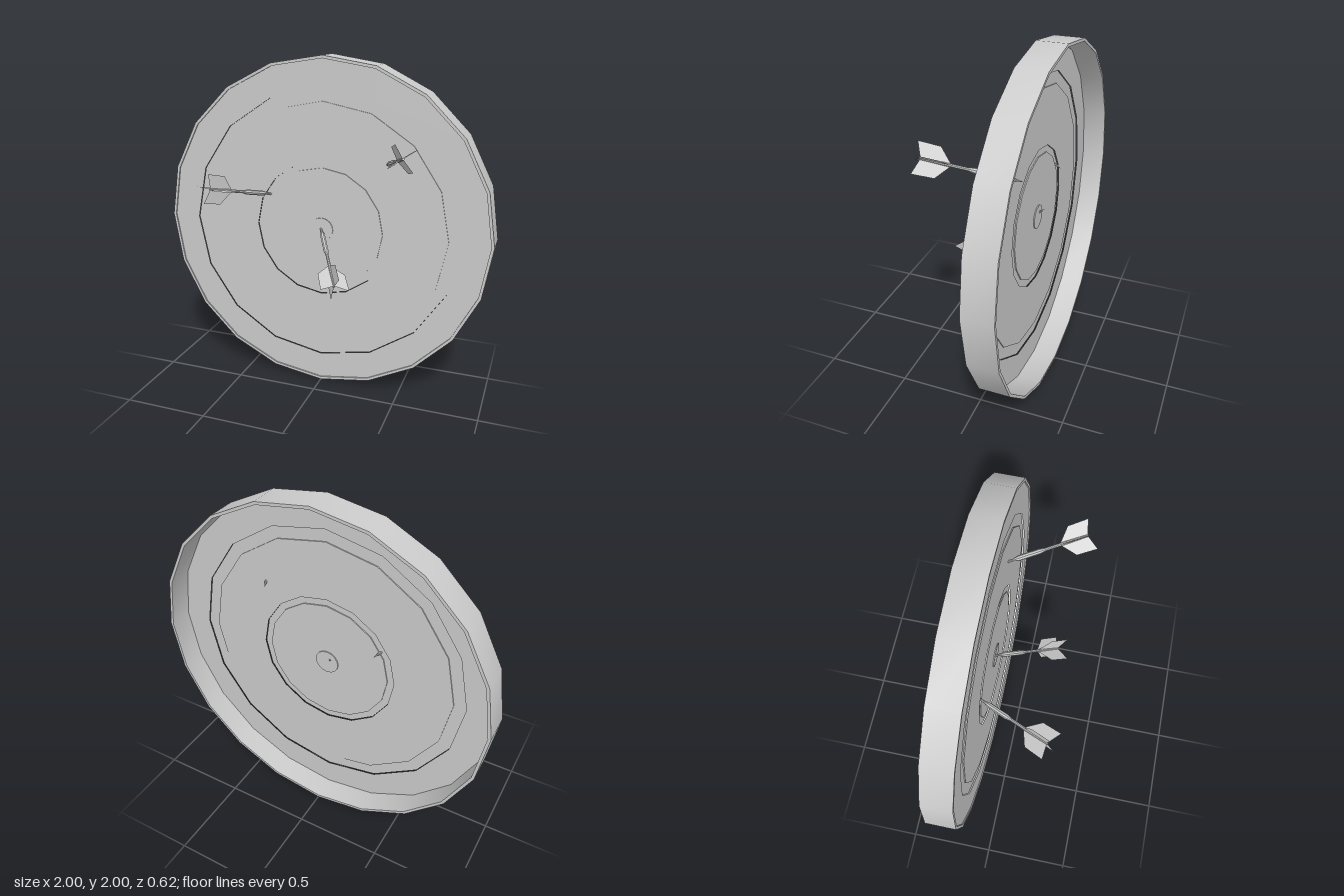
import * as THREE from 'three';
import { toCreasedNormals } from 'three/addons/utils/BufferGeometryUtils.js';

const grey = new THREE.MeshStandardMaterial({ color: 0xcccccc });
const thin = new THREE.MeshStandardMaterial({ color: 0xcccccc, side: THREE.DoubleSide });
const CENTRE_Y = 1;

function add(parent, name, geometry, material = grey) {
  const mesh = new THREE.Mesh(geometry, material);
  mesh.name = name;
  parent.add(mesh);
  return mesh;
}

function lathe(points, sides) {
  return toCreasedNormals(new THREE.LatheGeometry(points.map(p => new THREE.Vector2(...p)), sides), 0.5);
}

// Regular polygon with a corner at the top
function polygon(radius, sides) {
  return Array.from({ length: sides }, (_, i) => {
    const a = (i / sides) * Math.PI * 2;
    return new THREE.Vector2(Math.sin(a) * radius, Math.cos(a) * radius);
  });
}

// Flat polygonal ring or disc between two depths
function ring(parent, name, outer, inner, back, front, sides = 16) {
  const shape = new THREE.Shape(polygon(outer, sides));
  if (inner > 0) shape.holes.push(new THREE.Path(polygon(inner, 16)));
  const geo = new THREE.ExtrudeGeometry(shape, { depth: front - back, bevelEnabled: false });
  geo.translate(0, 0, back);
  return add(parent, name, geo);
}

// Dart along +y, origin where it enters the board
function makeDart(name, entry, direction, side) {
  const dart = new THREE.Group();
  dart.name = name;
  add(dart, 'needle', lathe([[0, -0.08], [0.007, -0.04], [0.007, 0.04]], 8));
  add(dart, 'barrel', lathe([[0, 0.025], [0.009, 0.025], [0.015, 0.05], [0.015, 0.17], [0.009, 0.2], [0, 0.2]], 8));
  add(dart, 'shaft', lathe([[0.009, 0.19], [0.009, 0.3], [0.006, 0.44], [0, 0.44]], 8));

  // Four crossed flights
  const outline = [[0, 0.28], [0.08, 0.35], [0.083, 0.465], [0, 0.435]];
  const fin = new THREE.ShapeGeometry(new THREE.Shape(outline.map(p => new THREE.Vector2(...p))));
  for (let i = 0; i < 4; i++) {
    add(dart, 'flight', fin, thin).rotation.y = (i * Math.PI) / 2;
  }

  // Aim the dart and set its roll from the side vector
  const y = new THREE.Vector3(...direction).normalize();
  const x = new THREE.Vector3(...side);
  x.addScaledVector(y, -x.dot(y)).normalize();
  const z = new THREE.Vector3().crossVectors(x, y);
  dart.quaternion.setFromRotationMatrix(new THREE.Matrix4().makeBasis(x, y, z));
  dart.position.set(...entry);
  return dart;
}

export function createModel() {
  const model = new THREE.Group();
  model.name = 'dartboard';

  const board = new THREE.Group();
  board.name = 'board';
  board.position.y = CENTRE_Y;
  model.add(board);

  // Thin outer hoop, deep and open behind the playing face
  const rim = lathe([[0.983, -0.3], [1, -0.3], [1, -0.13], [0.983, -0.13], [0.983, -0.3]], 20);
  rim.rotateX(Math.PI / 2);
  add(board, 'rim', rim);

  // Playing face: raised fields with sunken scoring bands between them
  ring(board, 'outerField', 0.99, 0.82, -0.16, -0.138, 20);
  ring(board, 'outerBand', 0.82, 0.75, -0.154, -0.144);
  ring(board, 'middleField', 0.75, 0.41, -0.16, -0.138);
  ring(board, 'innerBand', 0.41, 0.37, -0.154, -0.144);
  ring(board, 'innerField', 0.37, 0.07, -0.16, -0.138);
  ring(board, 'bullseye', 0.07, 0, -0.166, -0.132);

  model.add(
    makeDart('centreDart', [0, 1, -0.13], [0.215, -0.23, 0.37], [0.8, -0.15, -0.55]),
    makeDart('rightDart', [-0.335, 1.19, -0.13], [-0.2, 0.11, 0.42], [0.9, 0, 0.4]),
    makeDart('leftDart', [0.39, 1.42, -0.13], [0.18, 0.125, 0.41], [-0.125, 0.18, 0]),
  );
  return model;
}
